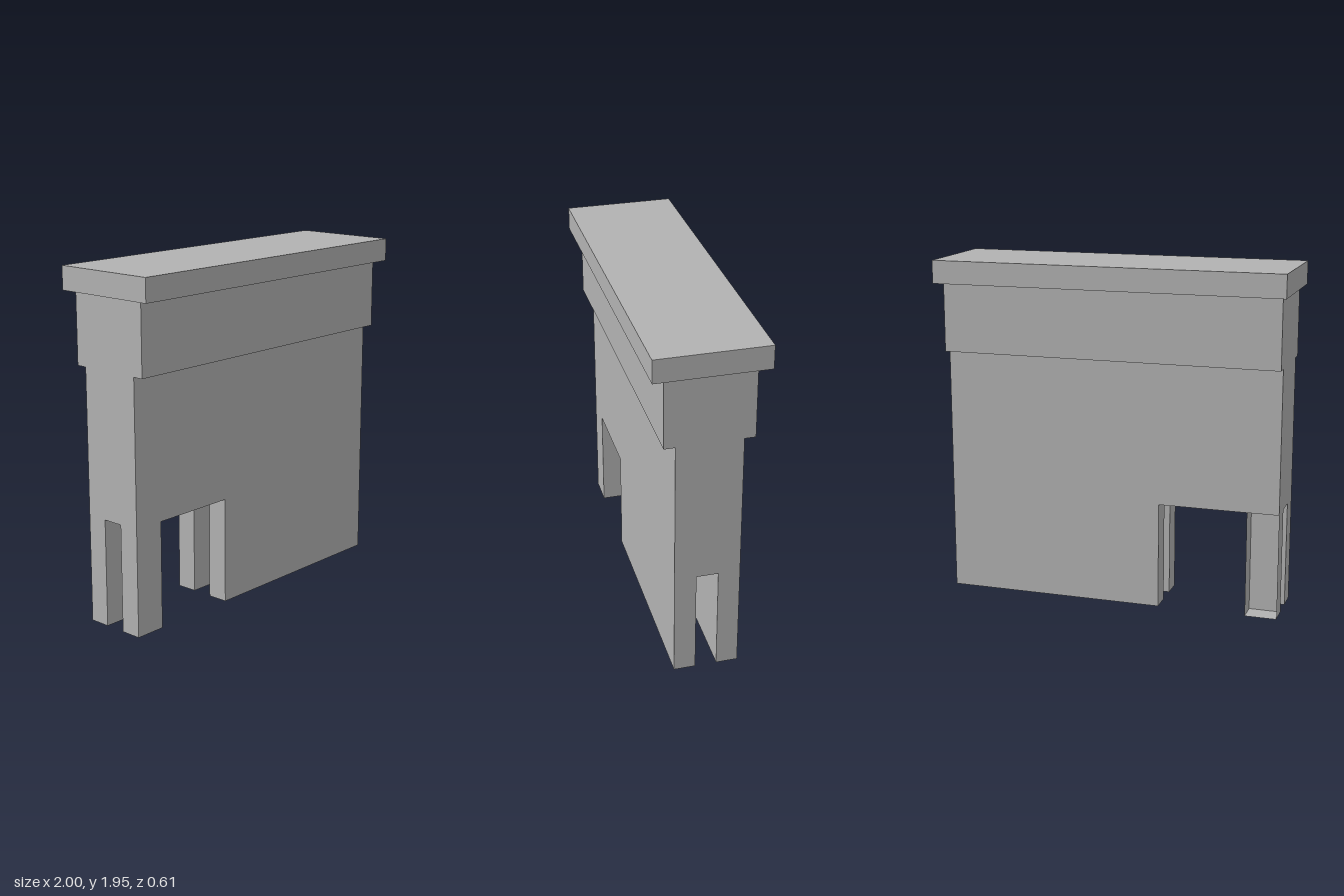
import * as THREE from 'three';

const grey = new THREE.MeshStandardMaterial({ color: 0xb2b2b2, side: THREE.DoubleSide });
grey.name = 'grey';

// Face order of a box: +x, -x, +y, -y, +z, -z
const TOP = 2, BOTTOM = 3, BACK = 5;

// Box between two corners, leaving out the listed faces
function box(name, [x0, x1], [y0, y1], [z0, z1], skip = []) {
  const geometry = new THREE.BoxGeometry(x1 - x0, y1 - y0, z1 - z0);
  const index = Array.from(geometry.index.array);
  geometry.setIndex(index.filter((_, i) => !skip.includes(Math.floor(i / 6))));
  geometry.clearGroups();
  geometry.translate((x0 + x1) / 2, (y0 + y1) / 2, (z0 + z1) / 2);
  const mesh = new THREE.Mesh(geometry, grey);
  mesh.name = name;
  return mesh;
}

// Downward-facing ceiling panel
function ceiling(name, [x0, x1], y, [z0, z1]) {
  const geometry = new THREE.PlaneGeometry(x1 - x0, z1 - z0);
  geometry.rotateX(Math.PI / 2);
  geometry.translate((x0 + x1) / 2, y, (z0 + z1) / 2);
  const mesh = new THREE.Mesh(geometry, grey);
  mesh.name = name;
  return mesh;
}

export function createModel() {
  const model = new THREE.Group();
  model.name = 'wallBlock';

  const left = 0.965, right = -0.97;
  const doorRight = -0.79, doorLeft = -0.285;
  const legTop = 0.605, bandBottom = 1.42, capBottom = 1.815, top = 1.945;
  const depth = 0.18, slot = 0.06;

  // Overhanging top
  model.add(box('cap', [-1, 1], [capBottom, top], [-0.307, 0.307]));
  model.add(box('upperBand', [right, left], [bandBottom, capBottom], [-0.24, 0.24]));

  // Hollow wall, closed below by the doorway and slot ceilings
  model.add(box('wall', [right, left], [legTop, bandBottom], [-depth, depth], [TOP, BOTTOM]));
  model.add(ceiling('doorwayCeiling', [doorRight, doorLeft], legTop, [-depth, depth]));
  model.add(ceiling('narrowSlotCeiling', [right, doorRight], legTop, [-slot, slot]));
  model.add(ceiling('wideSlotCeiling', [doorLeft, left], legTop, [-slot, slot]));

  // Front and back pairs of legs; the narrow back leg is an open shell
  for (const [side, z, open] of [['front', [slot, depth], []], ['back', [-depth, -slot], [BACK]]]) {
    model.add(box(side + 'WideLeg', [doorLeft, left], [0, legTop], z, [TOP]));
    model.add(box(side + 'NarrowLeg', [right, doorRight], [0, legTop], z, [TOP, ...open]));
  }

  return model;
}
